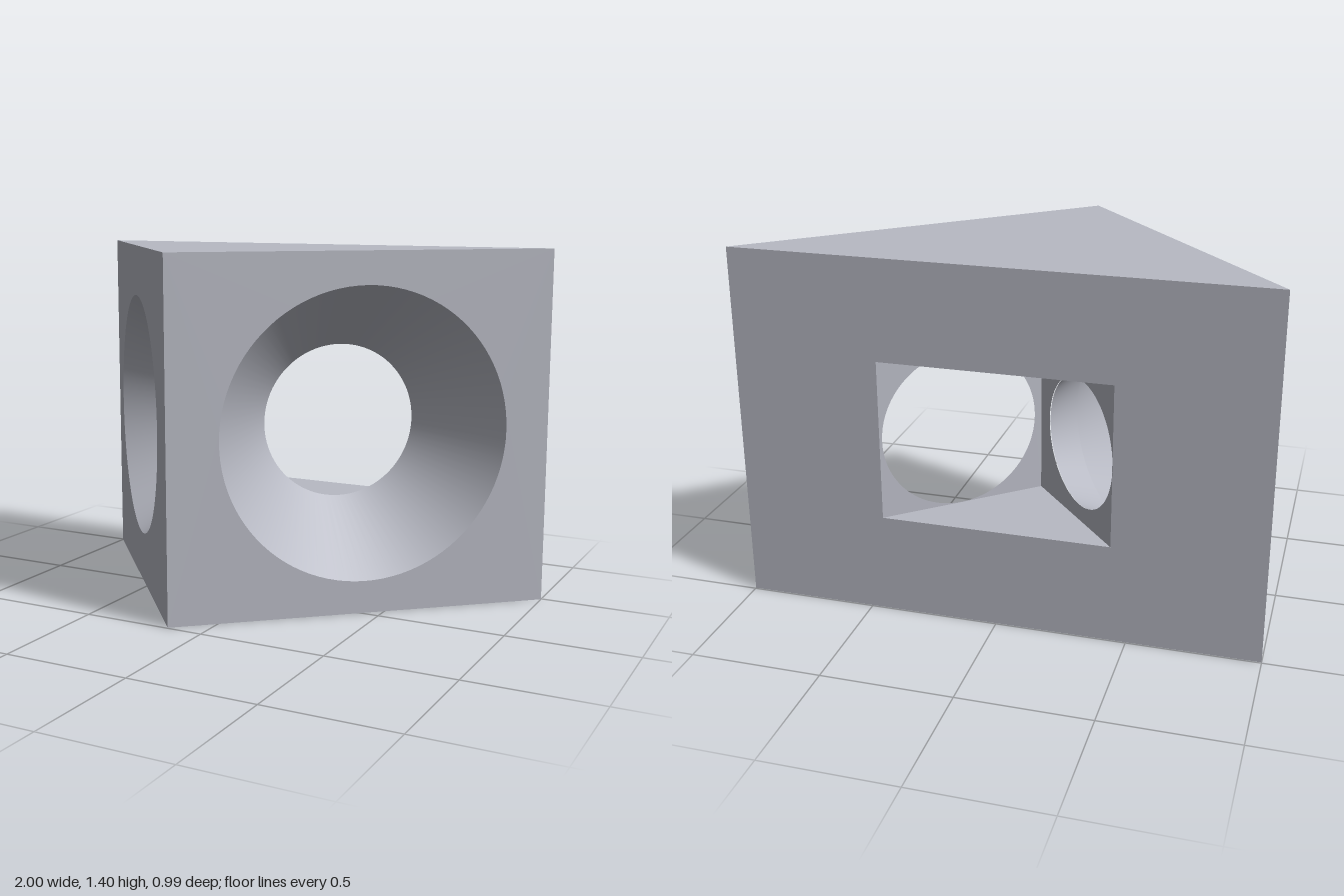
import * as THREE from 'three';

const HEIGHT = 1.396, MID = HEIGHT / 2;
const CAVITY = [MID - 0.312, MID + 0.312];
const V = (x, z) => new THREE.Vector2(x, z);

// Plan corners as (x, z): outer right triangle and the cavity inside it
const leftCorner = V(-1, -0.495), rightCorner = V(1, -0.495), apex = V(-0.145, 0.495);
const cavityLeft = V(-0.434, -0.495), cavityRight = V(0.442, -0.495), cavityApex = V(-0.059, -0.064);

export function createModel() {
  const model = new THREE.Group();
  const grey = new THREE.MeshStandardMaterial({ color: 0xb8bac4 });
  grey.name = 'grey';

  function add(name, geometry, parent = model) {
    const mesh = new THREE.Mesh(geometry, grey);
    mesh.name = name;
    parent.add(mesh);
    return mesh;
  }

  // Group whose local x runs from one plan point to another, facing local +z
  function wallFrame(name, from, to) {
    const frame = new THREE.Group();
    frame.name = name;
    frame.position.set(from.x, 0, from.y);
    frame.rotation.y = Math.atan2(from.y - to.y, to.x - from.x);
    model.add(frame);
    return frame;
  }

  function rectangle(path, u0, u1, v0, v1) {
    path.moveTo(u0, v0).lineTo(u1, v0).lineTo(u1, v1).lineTo(u0, v1).closePath();
    return path;
  }

  // Upright panel with one hole cut through it
  function wall(name, from, to, v0, v1, hole) {
    const frame = wallFrame(name, from, to);
    const shape = rectangle(new THREE.Shape(), 0, from.distanceTo(to), v0, v1);
    shape.holes.push(hole);
    add(name + 'Panel', new THREE.ShapeGeometry(shape, 48), frame);
    return frame;
  }

  const roundHole = (u, r) => new THREE.Path().absarc(u, MID, r, 0, Math.PI * 2, true);

  // Outer wall, tapering bore, and matching inner wall; profile is [radius, depth]
  function boredWall(name, from, to, u, profile, innerFrom, innerTo) {
    const frame = wall(name, from, to, 0, HEIGHT, roundHole(u, profile[0][0]));
    for (let i = 0; i + 1 < profile.length; i++) {
      const points = [profile[i], profile[i + 1]].map(([r, d]) => V(r, -d));
      const bore = add(name + 'Bore' + i, new THREE.LatheGeometry(points, 96).rotateX(Math.PI / 2), frame);
      bore.position.set(u, MID, 0);
    }
    // Project the bore axis onto the inner wall to centre its hole
    const [radius, depth] = profile[profile.length - 1];
    const along = to.clone().sub(from).normalize();
    const inward = V(along.y, -along.x);
    const centre = from.clone().addScaledVector(along, u).addScaledVector(inward, depth);
    const innerAlong = innerTo.clone().sub(innerFrom).normalize();
    const innerU = centre.sub(innerFrom).dot(innerAlong);
    wall(name + 'Inner', innerFrom, innerTo, ...CAVITY, roundHole(innerU, radius));
  }

  boredWall('rightWall', apex, rightCorner, 0.77,
    [[0.57, 0], [0.311, 0.364]], cavityRight, cavityApex);
  boredWall('leftWall', leftCorner, apex, 0.618,
    [[0.495, 0], [0.32, 0.276], [0.249, 0.427]], cavityApex, cavityLeft);

  // Back wall with the rectangular opening
  const opening = rectangle(new THREE.Path(), 1 - cavityRight.x, 1 - cavityLeft.x, ...CAVITY);
  wall('backWall', rightCorner, leftCorner, 0, HEIGHT, opening);

  // Horizontal triangles, facing up (+1) or down (-1)
  function slab(name, corners, y, facing) {
    const shape = new THREE.Shape(corners.map(p => V(p.x, -facing * p.y)));
    add(name, new THREE.ShapeGeometry(shape).rotateX(-facing * Math.PI / 2)).position.y = y;
  }
  const outer = [leftCorner, apex, rightCorner];
  const inner = [cavityLeft, cavityApex, cavityRight];
  slab('top', outer, HEIGHT, 1);
  slab('base', outer, 0, -1);
  slab('cavityFloor', inner, CAVITY[0], 1);
  slab('cavityCeiling', inner, CAVITY[1], -1);

  return model;
}
